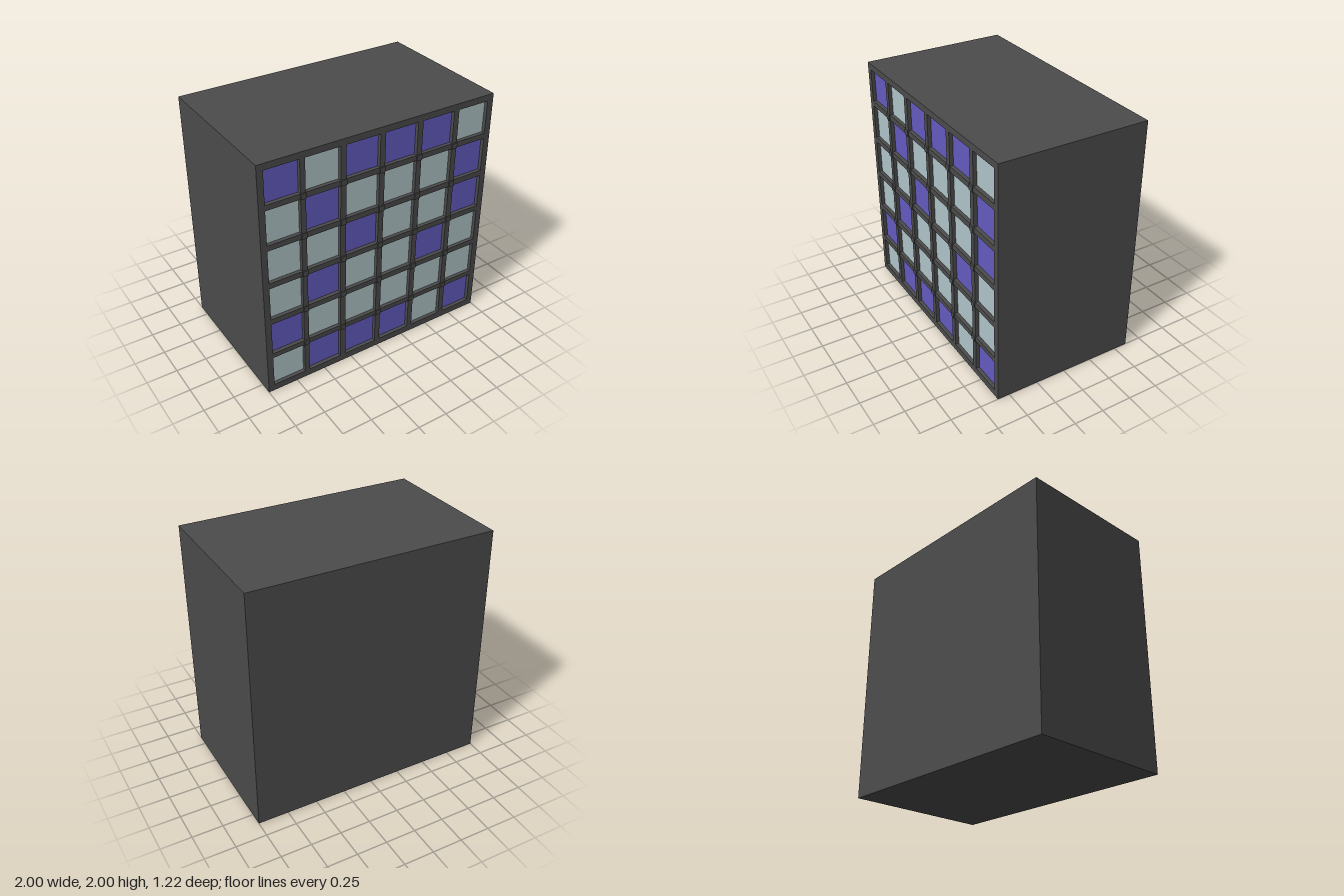
import * as THREE from 'three';

// Window edges along x and y, one [from, to] pair per column or row
const COLS = [[-0.95, -0.677], [-0.635, -0.353], [-0.306, -0.023], [0.022, 0.304], [0.349, 0.632], [0.677, 0.948]];
const ROWS = [[0.056, 0.328], [0.37, 0.652], [0.698, 0.98], [1.026, 1.306], [1.352, 1.635], [1.68, 1.948]];

// Pane pattern from the top row down: P = purple, L = light
const PATTERN = ['PLPPPL', 'LPLLLP', 'LLPLLP', 'LPLLPL', 'PLLLLL', 'LPPPLP'];

const BACK = -0.61, PANE = 0.57, FACE = 0.6, STUD = 0.61;

const dark = new THREE.MeshStandardMaterial({ color: 0x4b4b4b });
const light = new THREE.MeshStandardMaterial({ color: 0xb0c5c9 });
const purple = new THREE.MeshStandardMaterial({ color: 0x635bbf });

// Box given by its extents on each axis
function block(name, material, [x0, x1], [y0, y1], [z0, z1]) {
  const mesh = new THREE.Mesh(new THREE.BoxGeometry(x1 - x0, y1 - y0, z1 - z0), material);
  mesh.position.set((x0 + x1) / 2, (y0 + y1) / 2, (z0 + z1) / 2);
  mesh.name = name;
  return mesh;
}

function rectangle(target, [x0, x1], [y0, y1]) {
  target.moveTo(x0, y0);
  target.lineTo(x1, y0);
  target.lineTo(x1, y1);
  target.lineTo(x0, y1);
  target.closePath();
  return target;
}

export function createModel() {
  const model = new THREE.Group();
  model.name = 'gridCabinet';

  // Solid body behind the panes
  model.add(block('body', dark, [-1, 1], [0, 2], [BACK, PANE - 0.005]));

  // Front lattice with one opening per pane
  const outline = rectangle(new THREE.Shape(), [-1, 1], [0, 2]);
  for (const col of COLS) {
    for (const row of ROWS) outline.holes.push(rectangle(new THREE.Path(), col, row));
  }
  const lattice = new THREE.Mesh(
    new THREE.ExtrudeGeometry(outline, { depth: FACE - PANE + 0.005, bevelEnabled: false }), dark);
  lattice.position.z = PANE - 0.005;
  lattice.name = 'lattice';
  model.add(lattice);

  // Recessed coloured panes
  const panes = new THREE.Group();
  panes.name = 'panes';
  COLS.forEach((col, i) => ROWS.forEach((row, j) => {
    const isPurple = PATTERN[5 - j][i] === 'P';
    panes.add(block(isPurple ? 'purplePane' : 'lightPane', isPurple ? purple : light,
      col, row, [PANE - 0.01, PANE]));
  }));
  model.add(panes);

  // Small square studs where the lattice bars cross
  const studs = new THREE.Group();
  studs.name = 'studs';
  for (let i = 0; i < 5; i++) {
    for (let j = 0; j < 5; j++) {
      studs.add(block('stud', dark, [COLS[i][1], COLS[i + 1][0]], [ROWS[j][1], ROWS[j + 1][0]],
        [FACE - 0.01, STUD]));
    }
  }
  model.add(studs);

  return model;
}
